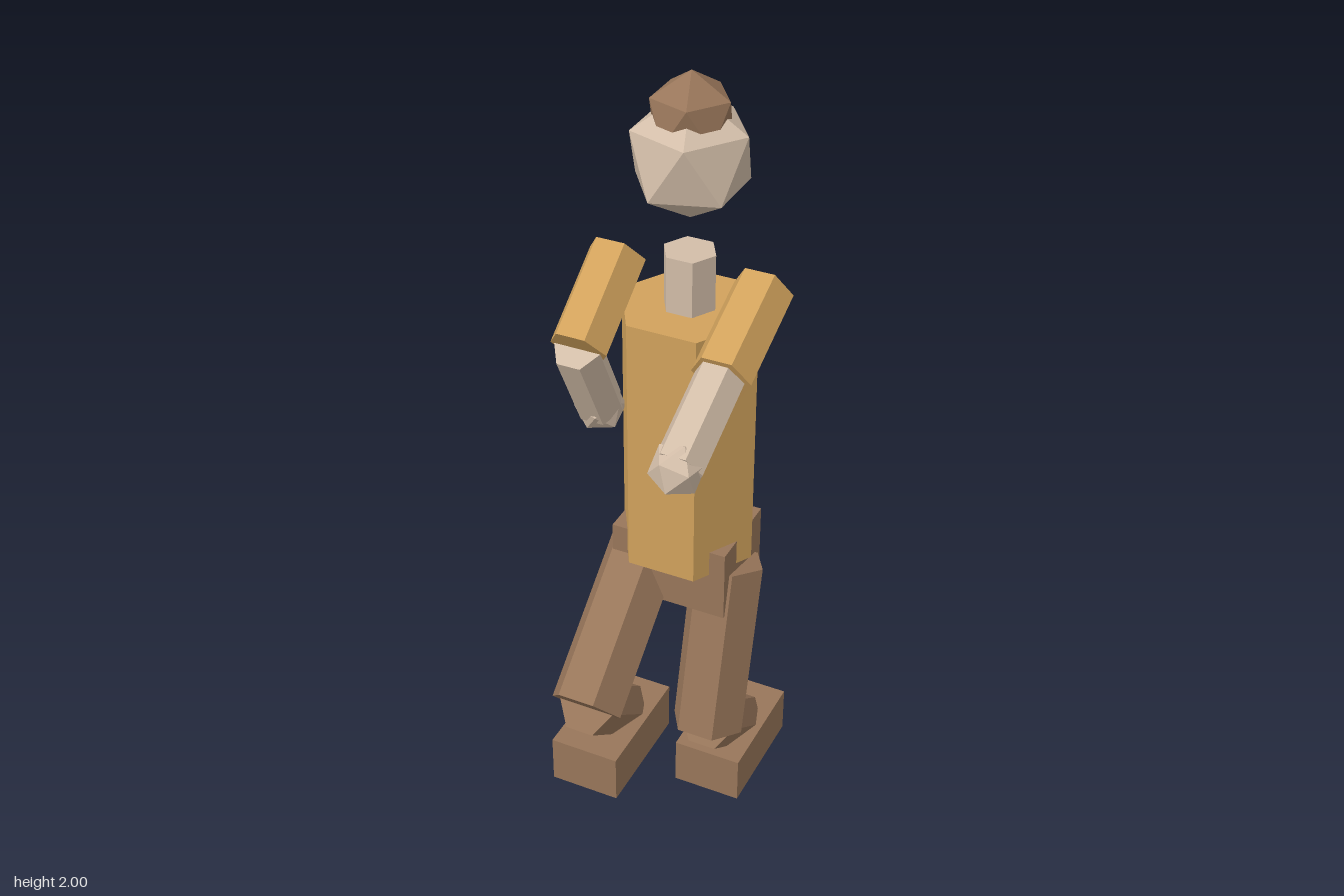
import * as THREE from 'three';

const MID_Z = -0.15; // depth of the body's vertical axis

export function createModel() {
  const model = new THREE.Group();
  model.name = 'runningFigure';

  const material = (name, color) => {
    const m = new THREE.MeshStandardMaterial({ color, flatShading: true });
    m.name = name;
    return m;
  };
  const gold = material('goldCloth', 0xd1a25c);
  const brown = material('brownLeather', 0x98765a);
  const skin = material('skin', 0xd2bda8);

  const add = (name, geometry, mat, x, y, z, tilt = 0) => {
    const mesh = new THREE.Mesh(geometry, mat);
    mesh.name = name;
    mesh.position.set(x, y, z);
    mesh.rotation.x = tilt;
    model.add(mesh);
    return mesh;
  };

  // Six-sided prism with corners on the +x and -x sides
  const prism = (r, h) => new THREE.CylinderGeometry(r, r, h, 6).rotateY(Math.PI / 6);

  // Twenty-sided ball standing on one corner
  const ball = (r) => new THREE.IcosahedronGeometry(r, 0)
    .rotateX(-Math.atan((1 + Math.sqrt(5)) / 2))
    .rotateY(Math.PI / 2);

  // Prism between two [y, z] joints at a fixed x; returns its tilt
  const limb = (name, mat, x, r, [y0, z0], [y1, z1]) => {
    const tilt = Math.atan2(z0 - z1, y0 - y1);
    add(name, prism(r, Math.hypot(y1 - y0, z1 - z0)), mat, x, (y0 + y1) / 2, (z0 + z1) / 2, tilt);
    return tilt;
  };

  // Trunk and head
  add('torso', prism(0.177, 0.685), gold, 0, 1.077, MID_Z);
  add('pelvis', new THREE.BoxGeometry(0.308, 0.193, 0.224), brown, 0, 0.707, MID_Z);
  add('neck', prism(0.066, 0.2), skin, 0, 1.462, MID_Z);
  add('head', ball(0.155), skin, 0, 1.8, MID_Z);
  add('hair', ball(0.105), brown, 0, 1.895, MID_Z);

  // Arms: joints as [y, z]
  const arms = [
    { side: 'left', x: 0.186, shoulder: [1.507, -0.149], elbow: [1.4, 0.083], wrist: [1.29, 0.3] },
    { side: 'right', x: -0.188, shoulder: [1.507, -0.155], elbow: [1.358, 0.052], wrist: [1.14, -0.058] },
  ];
  for (const { side, x, shoulder, elbow, wrist } of arms) {
    limb(side + 'UpperArm', gold, x, 0.073, shoulder, elbow);
    const tilt = limb(side + 'Forearm', skin, x - 0.003, 0.06, elbow, wrist);
    add(side + 'Hand', ball(0.066), skin, x - 0.004, wrist[0], wrist[1], tilt);
  }

  // Legs: joints as [y, z], foot as the centre of its box
  const legs = [
    { side: 'left', x: 0.114, hip: [0.705, -0.15], knee: [0.242, -0.043], ankle: [0.1, -0.24], foot: [0.065, -0.199] },
    { side: 'right', x: -0.108, hip: [0.712, -0.15], knee: [0.414, 0.212], ankle: [0.262, 0.02], foot: [0.215, 0.074] },
  ];
  for (const { side, x, hip, knee, ankle, foot } of legs) {
    limb(side + 'Thigh', brown, x, 0.096, hip, knee);
    limb(side + 'Shin', brown, x, 0.074, knee, ankle);
    add(side + 'Foot', new THREE.BoxGeometry(0.182, 0.13, 0.315), brown, x, foot[0], foot[1]);
  }

  return model;
}
